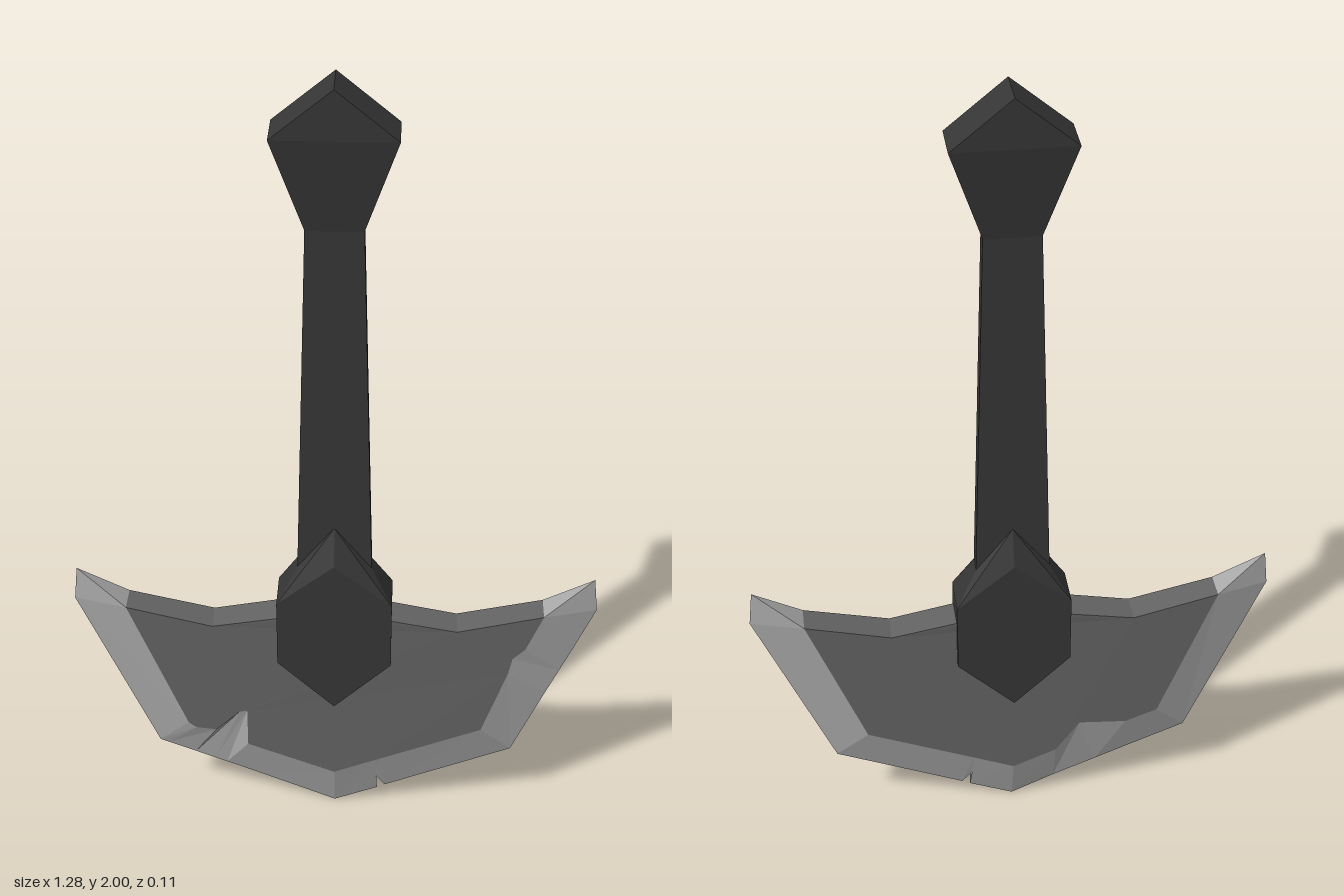
import * as THREE from 'three';
import { ConvexGeometry } from 'three/addons/geometries/ConvexGeometry.js';

const mat = (name, color) => new THREE.MeshStandardMaterial({ name, color, flatShading: true });

// Plate half thickness, thinning slightly toward the horns
const depth = (x) => 0.041 - 0.01 * Math.abs(x);

// Convex solid from points mirrored across x and z
function mirroredSolid(name, points, material) {
  const all = [];
  for (const [x, y, z] of points)
    for (const sx of x ? [1, -1] : [1])
      for (const sz of [1, -1]) all.push(new THREE.Vector3(x * sx, y, z * sz));
  const mesh = new THREE.Mesh(new ConvexGeometry(all), material);
  mesh.name = name;
  return mesh;
}

// Flat-faced mesh from convex polygons given as corner lists
function facets(name, polygons, material) {
  const pos = [];
  for (const p of polygons)
    for (let i = 1; i < p.length - 1; i++) pos.push(...p[0], ...p[i], ...p[i + 1]);
  const geo = new THREE.BufferGeometry();
  geo.setAttribute('position', new THREE.Float32BufferAttribute(pos, 3));
  geo.computeVertexNormals();
  const mesh = new THREE.Mesh(geo, material);
  mesh.name = name;
  return mesh;
}

// Blade stations, left to right: inner x, inner y, edge x, edge y, edge z
const leftHorn = [[-0.51, 0.64, -0.63, 0.73, 0], [-0.51, 0.64, -0.64, 0.64, 0], [-0.37, 0.28, -0.45, 0.19, 0]];
const notch = [[0.1, 0.171, 0.11, 0.045, 0], [0.105, 0.173, 0.1, 0.11, 0.02], [0.12, 0.179, 0.13, 0.055, 0]];
const bottom = [[0, 0.13, 0, 0, 0]];
const mirror = (stations) => stations.map(([a, b, c, d, e]) => [-a, b, -c, d, e]).reverse();
const rightHorn = mirror(leftHorn);
const frontChip = [
  [-0.35, 0.265, -0.43, 0.182, 0], [-0.3, 0.26, -0.36, 0.153, 0], [-0.24, 0.32, -0.31, 0.132, 0],
  [-0.22, 0.325, -0.28, 0.12, 0], [-0.22, 0.215, -0.22, 0.095, 0],
];
const sideChip = [[0.43, 0.46, 0.53, 0.38, 0], [0.44, 0.51, 0.56, 0.45, 0], [0.47, 0.54, 0.59, 0.52, 0]];
const backChip = [[-0.29, 0.25, -0.32, 0.137, 0], [-0.17, 0.26, -0.22, 0.095, 0], [-0.11, 0.175, -0.11, 0.05, 0]];
const frontStations = [...leftHorn, ...frontChip, ...bottom, ...notch, rightHorn[0], ...sideChip, ...rightHorn.slice(1)];
const backStations = [...leftHorn, ...backChip, ...bottom, ...notch, ...rightHorn];

// Upper outline of the plate, right to left
const topLine = [[0.51, 0.64], [0.3, 0.59], [0.14, 0.62], [0, 0.63], [-0.14, 0.62], [-0.3, 0.59], [-0.51, 0.64]];

// One side of the blade, facing +z
function bladeSide(name, stations, plateMat, edgeMat) {
  const group = new THREE.Group();
  group.name = name;
  const inner = stations.slice(1, -1).map(([x, y]) => new THREE.Vector2(x, y));
  const top = topLine.slice(1, -1).map(([x, y]) => new THREE.Vector2(x, y));
  const geo = new THREE.ShapeGeometry(new THREE.Shape([...inner, ...top]));
  const p = geo.attributes.position;
  for (let i = 0; i < p.count; i++) p.setZ(i, depth(p.getX(i)));
  geo.computeVertexNormals();
  const plate = new THREE.Mesh(geo, plateMat);
  plate.name = 'bladePlate';

  const innerAt = ([x, y]) => [x, y, depth(x)];
  const edgeAt = ([, , x, y, z]) => [x, y, z];
  const bevels = [];
  for (let i = 0; i < stations.length - 1; i++) {
    const a = stations[i], b = stations[i + 1];
    bevels.push([innerAt(b), innerAt(a), edgeAt(a), edgeAt(b)]);
  }
  group.add(plate, facets('sharpenedEdge', bevels, edgeMat));
  return group;
}

export function createModel() {
  const model = new THREE.Group();
  model.name = 'battleAxe';
  const dark = mat('dark handle', 0x363636);
  const steel = mat('dark steel', 0x636363);
  const bright = mat('bright edge', 0xaaaaaa);

  // Handle, pommel and guard
  model.add(
    mirroredSolid('handle', [[0.094, 0.6, 0.022], [0.065, 1.68, 0.02]], dark),
    mirroredSolid('pommel', [[0.065, 1.66, 0.02], [0.14, 1.885, 0.055], [0, 2, 0.055]], dark),
    mirroredSolid('guard', [
      [0, 0.36, 0.055], [0.14, 0.495, 0.055], [0.14, 0.675, 0.055], [0, 0.79, 0.055],
      [0.09, 0.765, 0.022], [0, 0.88, 0.022],
    ], dark),
  );

  // Both blade sides; the back is turned around
  const back = bladeSide('bladeBack', mirror(backStations), steel, bright);
  back.rotation.y = Math.PI;
  model.add(bladeSide('bladeFront', frontStations, steel, bright), back);

  // Upper rim of the plate
  const rim = [];
  for (let i = 0; i < topLine.length - 1; i++) {
    const [ax, ay] = topLine[i], [bx, by] = topLine[i + 1];
    rim.push([[ax, ay, depth(ax)], [ax, ay, -depth(ax)], [bx, by, -depth(bx)], [bx, by, depth(bx)]]);
  }
  model.add(facets('bladeRim', rim, steel));

  // Horn tops and notch walls
  const d = depth(0.51);
  const caps = [
    [[0.51, 0.64, d], [0.63, 0.73, 0], [0.51, 0.64, -d]],
    [[-0.51, 0.64, d], [-0.51, 0.64, -d], [-0.63, 0.73, 0]],
  ];
  const [n0, n1, n2] = notch.map(([, , x, y, z]) => [x, y, z]);
  const n1Back = [n1[0], n1[1], -n1[2]];
  caps.push([n0, n1Back, n1], [n1, n1Back, n2]);
  model.add(facets('hornTopsAndNotch', caps, bright));
  return model;
}
